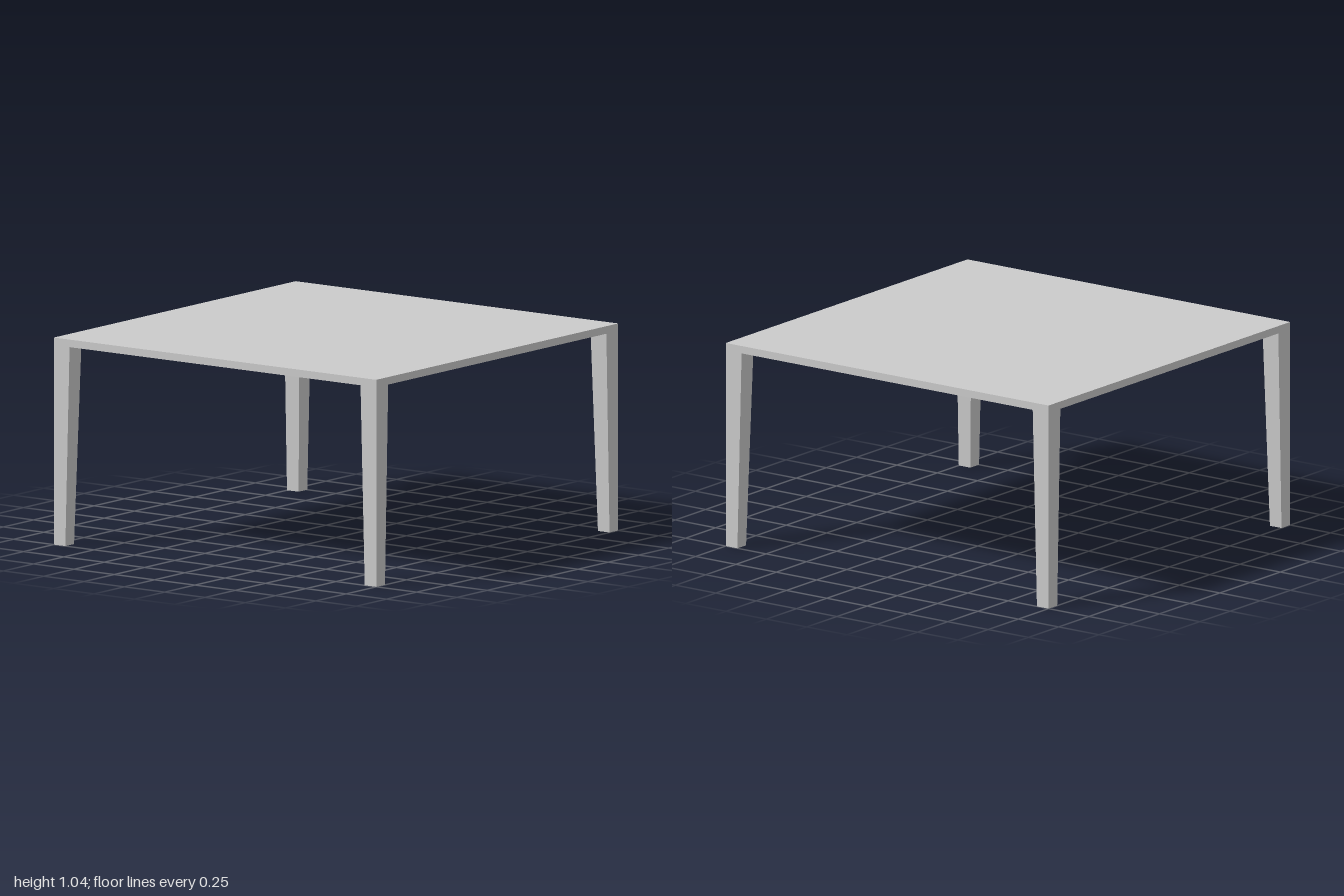
import * as THREE from 'three';

const TOP = 1.043, UNDERSIDE = 1.005;
const LEG_TOP = 0.098, LEG_FOOT = 0.072;

// Square leg whose outer corner stays plumb while its two inner faces taper
function legGeometry(sx, sz) {
  const geo = new THREE.BoxGeometry(1, UNDERSIDE, 1);
  const pos = geo.attributes.position;
  for (let i = 0; i < pos.count; i++) {
    const width = pos.getY(i) > 0 ? LEG_TOP : LEG_FOOT;
    pos.setX(i, sx * (1 - width / 2) + pos.getX(i) * width);
    pos.setZ(i, sz * (1 - width / 2) + pos.getZ(i) * width);
  }
  geo.translate(0, UNDERSIDE / 2, 0);
  geo.computeVertexNormals();
  return geo;
}

export function createModel() {
  const table = new THREE.Group();
  table.name = 'table';
  const material = new THREE.MeshStandardMaterial({ color: 0xcccccc, flatShading: true });

  // Thin square top
  const top = new THREE.Mesh(new THREE.BoxGeometry(2, TOP - UNDERSIDE, 2), material);
  top.name = 'tableTop';
  top.position.y = (TOP + UNDERSIDE) / 2;
  table.add(top);

  // Four corner legs flush with the edges of the top
  for (const [sx, side] of [[1, 'Left'], [-1, 'Right']]) {
    for (const [sz, end] of [[1, 'front'], [-1, 'back']]) {
      const leg = new THREE.Mesh(legGeometry(sx, sz), material);
      leg.name = `${end}${side}Leg`;
      table.add(leg);
    }
  }
  return table;
}
